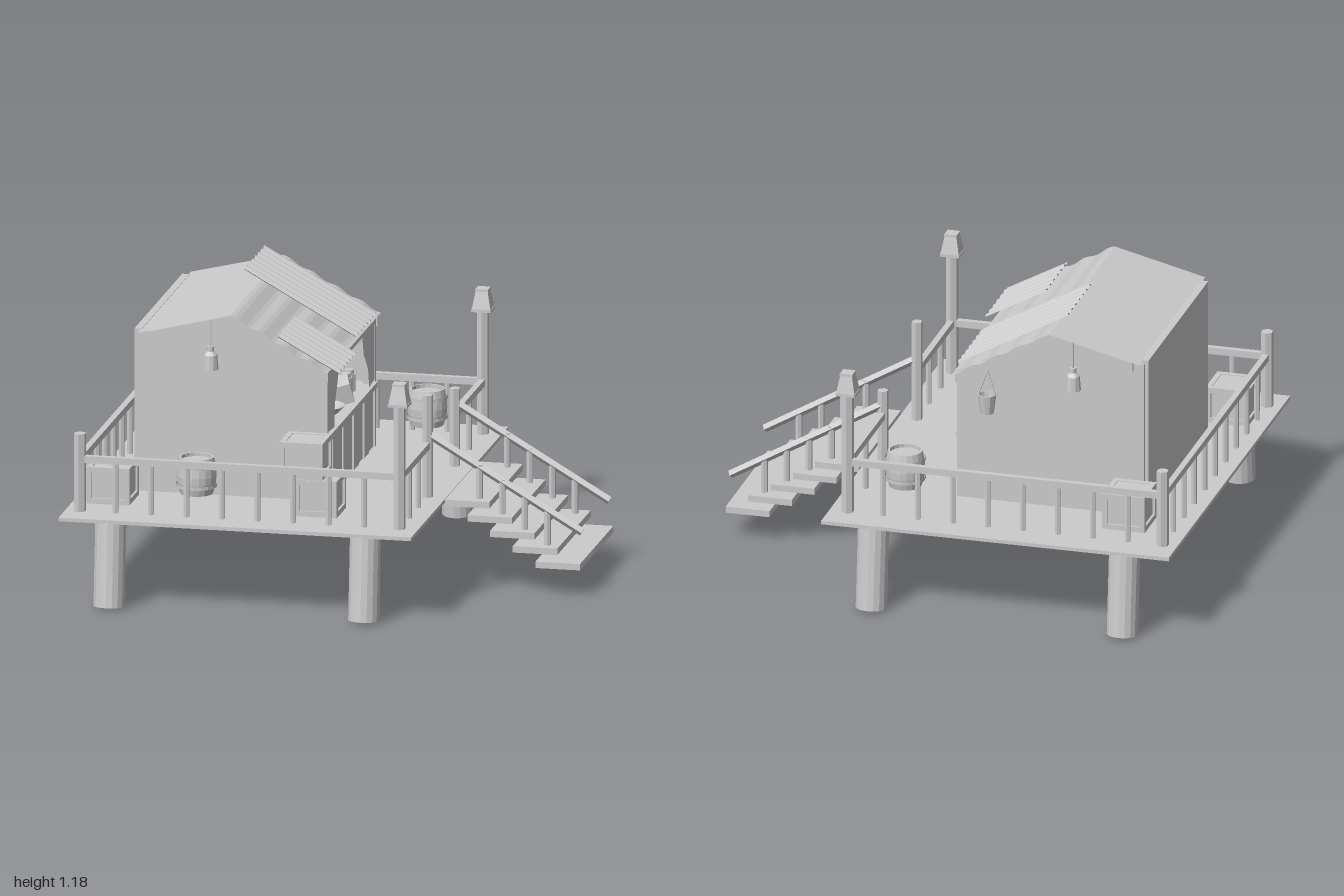
import * as THREE from 'three';

const mat = new THREE.MeshStandardMaterial({ color: 0xcccccc, flatShading: true });
const thin = new THREE.MeshStandardMaterial({ color: 0xcccccc, flatShading: true, side: THREE.DoubleSide });

export function createModel() {
  const root = new THREE.Group();

  const add = (name, geo, x = 0, y = 0, z = 0, material = mat) => {
    const m = new THREE.Mesh(geo, material);
    m.name = name;
    m.position.set(x, y, z);
    root.add(m);
    return m;
  };
  // Box given by its extents
  const box = (name, x0, x1, y0, y1, z0, z1) =>
    add(name, new THREE.BoxGeometry(x1 - x0, y1 - y0, z1 - z0), (x0 + x1) / 2, (y0 + y1) / 2, (z0 + z1) / 2);
  // Round or square bar between two points
  const bar = (name, a, b, rTop, rBottom = rTop, sides = 6) => {
    const p = new THREE.Vector3(...a), q = new THREE.Vector3(...b);
    const d = q.clone().sub(p);
    const m = add(name, new THREE.CylinderGeometry(rTop, rBottom, d.length(), sides));
    m.position.copy(p).add(q).multiplyScalar(0.5);
    m.quaternion.setFromUnitVectors(new THREE.Vector3(0, 1, 0), d.normalize());
    return m;
  };
  const lathe = (name, pts, x, y, z, sides = 12) =>
    add(name, new THREE.LatheGeometry(pts.map(p => new THREE.Vector2(...p)), sides), x, y, z, thin);
  const shapeOf = pts => new THREE.Shape(pts.map(p => new THREE.Vector2(...p)));

  // Deck on splayed stilts
  box('deck', -1, 0.44, 0.345, 0.36, -0.89, 0.89);
  for (const x of [-0.8, 0.24]) for (const s of [-1, 1])
    bar('stilt', [x, 0, s * 0.862], [x, 0.35, s * 0.828], 0.063, 0.063, 16);

  // Railings
  const floor = 0.36, rail = 0.575, bx = -0.94, fx = 0.365, sz = 0.765;
  const railing = (x0, z0, x1, z1, count) => {
    const r = new THREE.BoxGeometry(Math.abs(x1 - x0) + 0.025, 0.028, Math.abs(z1 - z0) + 0.025);
    add('handrail', r, (x0 + x1) / 2, rail, (z0 + z1) / 2);
    for (let i = 1; i <= count; i++) {
      const t = i / (count + 1), x = x0 + (x1 - x0) * t, z = z0 + (z1 - z0) * t;
      bar('baluster', [x, floor, z], [x, rail, z], 0.012);
    }
  };
  for (const s of [-1, 1]) {
    railing(bx, s * sz, fx, s * sz, 8);
    railing(fx, s * sz, fx, s * 0.25, s > 0 ? 2 : 1);
    bar('backPost', [bx, floor, s * sz], [bx, 0.68, s * sz], 0.025);
    bar('gatePost', [fx, floor, s * 0.25], [fx, s > 0 ? 0.78 : 0.68, s * 0.25], 0.022);
    bar('lampPost', [fx, floor, s * sz], [fx, 0.88, s * sz], 0.025);
    // Tapered post lamp with a small cap
    const lamp = add('postLamp', new THREE.CylinderGeometry(0.034, 0.055, 0.08, 4), fx, 0.914, s * sz);
    lamp.rotation.y = Math.PI / 4;
    box('lampBase', fx - 0.04, fx + 0.04, 0.868, 0.88, s * sz - 0.04, s * sz + 0.04);
    box('lampCap', fx - 0.026, fx + 0.026, 0.95, 0.96, s * sz - 0.026, s * sz + 0.026);
  }
  railing(bx, -sz, bx, sz, 9);

  // Stairs with sloping handrails
  for (let i = 0; i < 5; i++) {
    const x = 0.447 + i * 0.0925, y = 0.34 - i * 0.0585;
    box('step', x, x + 0.182, y, y + 0.026, -0.31, 0.305);
    if (i < 4) for (const z of [0.25, -0.255])
      bar('stairBaluster', [x + 0.13, y + 0.02, z], [x + 0.13, 0.505 - i * 0.057, z], 0.014);
  }
  for (const z of [0.25, -0.255])
    bar('stairHandrail', [fx, 0.62, z], [0.995, 0.25, z], 0.017, 0.017, 4);

  // House: gables, trim, back wall
  const outer = [[-0.785, 0.36], [-0.01, 0.36], [-0.01, 0.895], [-0.4, 1.1], [-0.785, 1.01]];
  const gable = new THREE.ExtrudeGeometry(shapeOf(outer), { depth: 0.02, bevelEnabled: false });
  add('gableWall', gable, 0, 0, 0.385);
  add('gableWall', gable, 0, 0, -0.49);
  const trim = new THREE.ExtrudeGeometry(shapeOf([[-0.74, 1.02], [-0.4, 1.105], [-0.005, 0.9],
    [-0.005, 0.85], [-0.07, 0.88], [-0.4, 1.065], [-0.74, 0.98]]), { depth: 0.012, bevelEnabled: false });
  add('gableTrim', trim, 0, 0, 0.404);
  add('gableTrim', trim, 0, 0, -0.502);
  box('backWall', -0.8, -0.77, 0.36, 1.025, -0.48, 0.395);

  // Corrugated sheet from a high edge to a low edge; ridges run along z or down the slope
  const sheet = (name, x0, y0, x1, y1, z0, z1, waves, alongZ, amp = 0.007) => {
    const n = waves * 6;
    const g = alongZ ? new THREE.PlaneGeometry(1, 1, n, 1) : new THREE.PlaneGeometry(1, 1, 1, n);
    const p = g.attributes.position;
    for (let i = 0; i < p.count; i++) {
      const u = p.getX(i) + 0.5, v = 0.5 - p.getY(i);
      const w = amp * Math.sin((alongZ ? u : v) * waves * Math.PI * 2);
      p.setXYZ(i, x0 + (x1 - x0) * u, y0 + (y1 - y0) * u + w, z0 + (z1 - z0) * v);
    }
    g.computeVertexNormals();
    add(name, g, 0, 0, 0, thin);
  };
  sheet('backRoof', -0.775, 1.022, -0.4, 1.113, -0.53, 0.44, 1, true, 0);
  sheet('frontRoof', -0.4, 1.113, 0, 0.897, -0.53, 0.44, 4, true, 0.005);
  sheet('upperPatchSheet', -0.455, 1.168, 0, 0.916, -0.445, -0.075, 7, false);
  sheet('lowerPatchSheet', -0.21, 1.032, 0.04, 0.894, 0.1, 0.42, 6, false);

  // Shop front: lintel, opening posts, plank counter
  box('lintel', -0.04, -0.01, 0.868, 0.895, -0.48, 0.395);
  for (const z of [0.35, -0.44]) box('openingPost', -0.05, -0.02, 0.36, 0.88, z - 0.015, z + 0.015);
  for (const z of [0.12, -0.225]) box('rearStud', -0.77, -0.755, 0.36, 1.0, z - 0.01, z + 0.01);
  box('counterTop', -0.2, 0, 0.605, 0.628, -0.47, 0.4);
  for (let i = 0; i < 9; i++) {
    const z = -0.465 + i * 0.095;
    const m = box('counterPlank', -0.035, -0.018 + (i % 2) * 0.006, 0.36, 0.606 - (i % 3) * 0.006, z, z + 0.09);
    m.rotation.x = ((i * 7) % 5 - 2) * 0.008;
  }

  // Curtains gathered at both sides of the opening (shape x runs along -z)
  for (const pts of [
    [[-0.4, 0.88], [-0.18, 0.88], [-0.21, 0.8], [-0.26, 0.72], [-0.27, 0.63], [-0.4, 0.64]],
    [[0.24, 0.88], [0.47, 0.88], [0.47, 0.64], [0.37, 0.63], [0.35, 0.71], [0.27, 0.79]]]) {
    const c = add('curtain', new THREE.ShapeGeometry(shapeOf(pts)), -0.012, 0, 0, thin);
    c.rotation.y = Math.PI / 2;
  }

  // Goods on the counter
  const chest = box('goodsBox', -0.13, -0.03, 0.635, 0.715, -0.18, -0.06);
  chest.rotation.set(0.12, 0.3, 0.25);
  for (const z of [-0.25, -0.31]) {
    add('jar', new THREE.CylinderGeometry(0.026, 0.026, 0.07, 10), -0.08, 0.663, z);
    add('jarLid', new THREE.CylinderGeometry(0.02, 0.02, 0.018, 10), -0.08, 0.707, z);
  }
  lathe('bowl', [[0, 0], [0.05, 0], [0.085, 0.035], [0.075, 0.035], [0.045, 0.01], [0, 0.01]], -0.1, 0.628, 0.06);

  // Hanging lamps and bucket under the gable overhangs
  const lampProfile = [[0, 0], [0.032, 0], [0.027, 0.06], [0.014, 0.075], [0.014, 0.095], [0, 0.095]];
  for (const [x, z] of [[-0.48, 0.437], [-0.5, -0.525]]) {
    lathe('hangingLamp', lampProfile, x, 0.885, z, 10);
    bar('lampCord', [x, 0.97, z], [x, 1.09, z], 0.004);
  }
  lathe('hangingBucket', [[0, 0], [0.028, 0], [0.038, 0.08], [0.032, 0.08], [0.024, 0.012], [0, 0.012]], -0.145, 0.75, -0.53, 10);
  for (const s of [-1, 1])
    bar('bucketHandle', [-0.145 + s * 0.034, 0.83, -0.53], [-0.145, 0.93, -0.525], 0.004);

  // Barrels with hoops and a recessed lid
  for (const [x, z] of [[-0.49, 0.65], [0.175, -0.595]]) {
    lathe('barrel', [[0, 0], [0.066, 0], [0.078, 0.045], [0.08, 0.075], [0.078, 0.105], [0.07, 0.15],
      [0.062, 0.15], [0.062, 0.135], [0, 0.135]], x, 0.43, z, 18);
    for (const y of [0.465, 0.545]) {
      const hoop = add('barrelHoop', new THREE.CylinderGeometry(0.082, 0.082, 0.014, 18, 1, true), x, y, z, thin);
      hoop.rotation.y = 0.1;
    }
  }

  // Crates: recessed core inside a frame of edge boards
  for (const [x, y, z] of [[0.005, 0.445, 0.61], [-0.05, 0.6, 0.625], [-0.845, 0.445, 0.595], [-0.755, 0.445, -0.6]]) {
    const w = 0.088, h = 0.075, t = 0.022;
    box('crate', x - w + 0.01, x + w - 0.01, y - h + 0.003, y + h - 0.003, z - w + 0.01, z + w - 0.01);
    for (const s of [-1, 1]) {
      const y0 = s > 0 ? y + h - t : y - h, cx = x + s * (w - t / 2), cz = z + s * (w - t / 2);
      for (const q of [-1, 1]) {
        const ez = z + q * (w - t / 2), ex = x + q * (w - t / 2);
        box('crateBoard', x - w, x + w, y0, y0 + t, ez - t / 2, ez + t / 2);
        box('crateBoard', ex - t / 2, ex + t / 2, y0, y0 + t, z - w + t, z + w - t);
        box('crateBoard', cx - t / 2, cx + t / 2, y - h + t, y + h - t, ez - t / 2, ez + t / 2);
      }
    }
  }
  return root;
}
